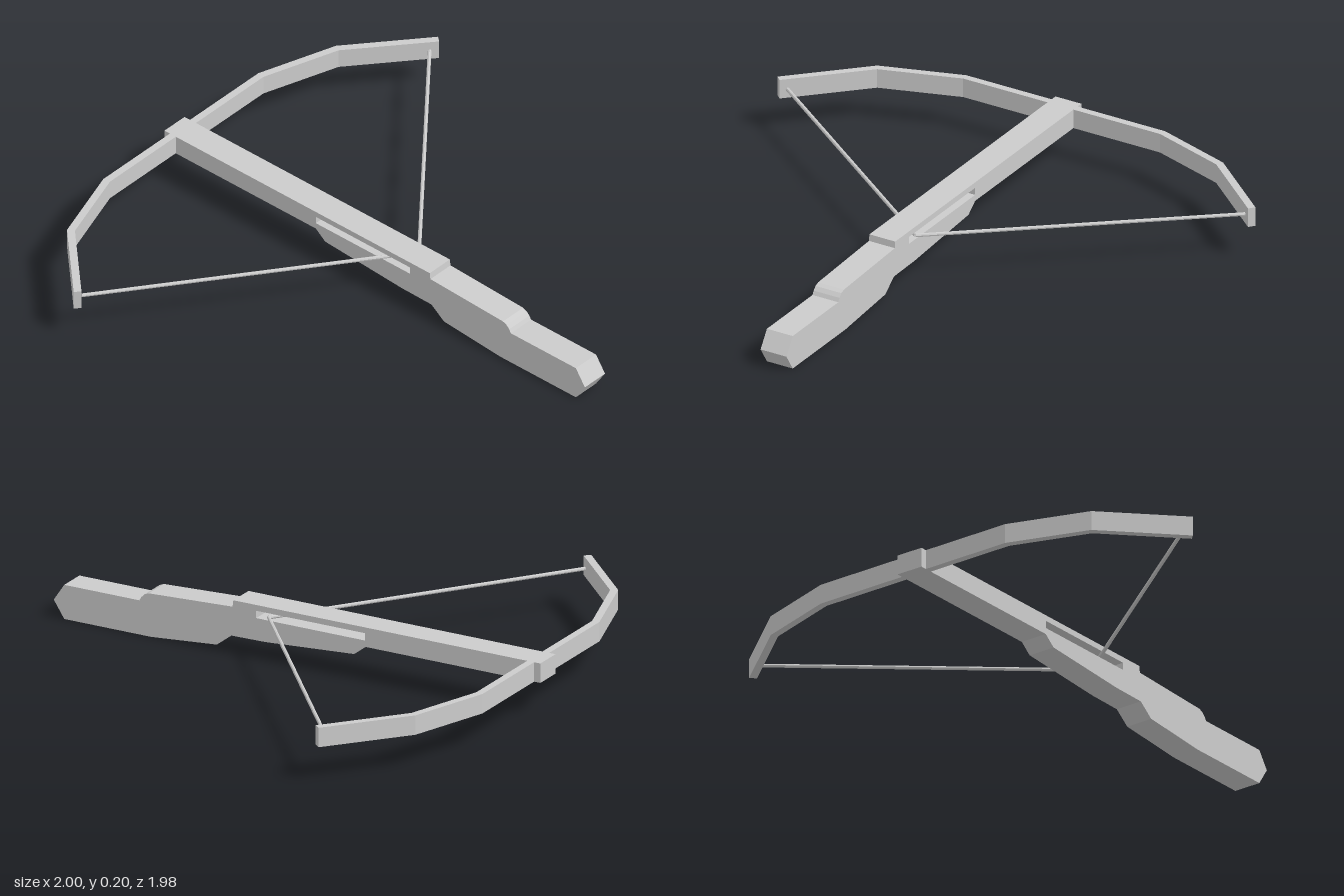
import * as THREE from 'three';

const material = new THREE.MeshStandardMaterial({ color: 0xcccccc, flatShading: true });
const toVectors = (pts) => pts.map(([x, y]) => new THREE.Vector2(x, y));

function addMesh(group, name, geometry) {
  const mesh = new THREE.Mesh(geometry, material);
  mesh.name = name;
  group.add(mesh);
  return mesh;
}

// Offset an open polyline sideways with mitred corners
function offsetLine(line, d) {
  return line.map((p, i) => {
    const a = line[Math.max(i - 1, 0)], b = line[Math.min(i + 1, line.length - 1)];
    const normal = (u, v) => {
      const t = v.clone().sub(u).normalize();
      return new THREE.Vector2(-t.y, t.x);
    };
    const n1 = i > 0 ? normal(a, p) : normal(p, b);
    const n2 = i < line.length - 1 ? normal(p, b) : n1;
    const m = n1.clone().add(n2).normalize();
    return p.clone().addScaledVector(m, d / m.dot(n1));
  });
}

export function createModel() {
  const group = new THREE.Group();
  group.name = 'crossbow';

  // Stock: side profile with a slot cut through for the string
  const profile = new THREE.Shape(toVectors([
    [-1, 0.13], [-0.28, 0.13], [-0.235, 0.094], [0.13, 0.07], [0.27, 0.068],
    [0.33, 0.022], [0.6, 0], [0.957, 0], [1, 0.066], [0.957, 0.13],
    [0.648, 0.13], [0.64, 0.144], [0.627, 0.157], [0.61, 0.164],
    [0.265, 0.179], [0.262, 0.204], [-1, 0.204],
  ]));
  profile.holes.push(new THREE.Path(toVectors([
    [-0.28, 0.154], [-0.28, 0.182], [0.168, 0.182], [0.168, 0.154],
  ])));
  const stock = new THREE.ExtrudeGeometry(profile, { depth: 0.108, bevelEnabled: false });
  stock.translate(0, 0, -0.041);
  addMesh(group, 'stock', stock);

  // Bow: flat bent strip, drawn in plan (x, -z) and extruded upwards
  const spine = toVectors([
    [-0.627, 0.983], [-0.862, 0.704], [-0.96, 0.405],
    [-0.96, -0.422], [-0.86, -0.726], [-0.603, -0.98],
  ]);
  const outline = [...offsetLine(spine, 0.014), ...offsetLine(spine, -0.014).reverse()];
  const bow = new THREE.ExtrudeGeometry(new THREE.Shape(outline), { depth: 0.074, bevelEnabled: false });
  bow.rotateX(-Math.PI / 2).translate(0, 0.13, 0);
  addMesh(group, 'bow', bow);

  // Drawn string: two straight halves meeting in the slot
  const nock = new THREE.Vector3(0.118, 0.165, -0.038);
  const tips = { rightString: [-0.645, -0.955], leftString: [-0.612, 0.948] };
  for (const [name, [x, z]] of Object.entries(tips)) {
    const tip = new THREE.Vector3(x, 0.165, z);
    const dir = nock.clone().sub(tip);
    const half = addMesh(group, name, new THREE.CylinderGeometry(0.007, 0.007, dir.length(), 8));
    half.position.copy(tip).add(nock).multiplyScalar(0.5);
    half.quaternion.setFromUnitVectors(new THREE.Vector3(0, 1, 0), dir.normalize());
  }

  return group;
}
